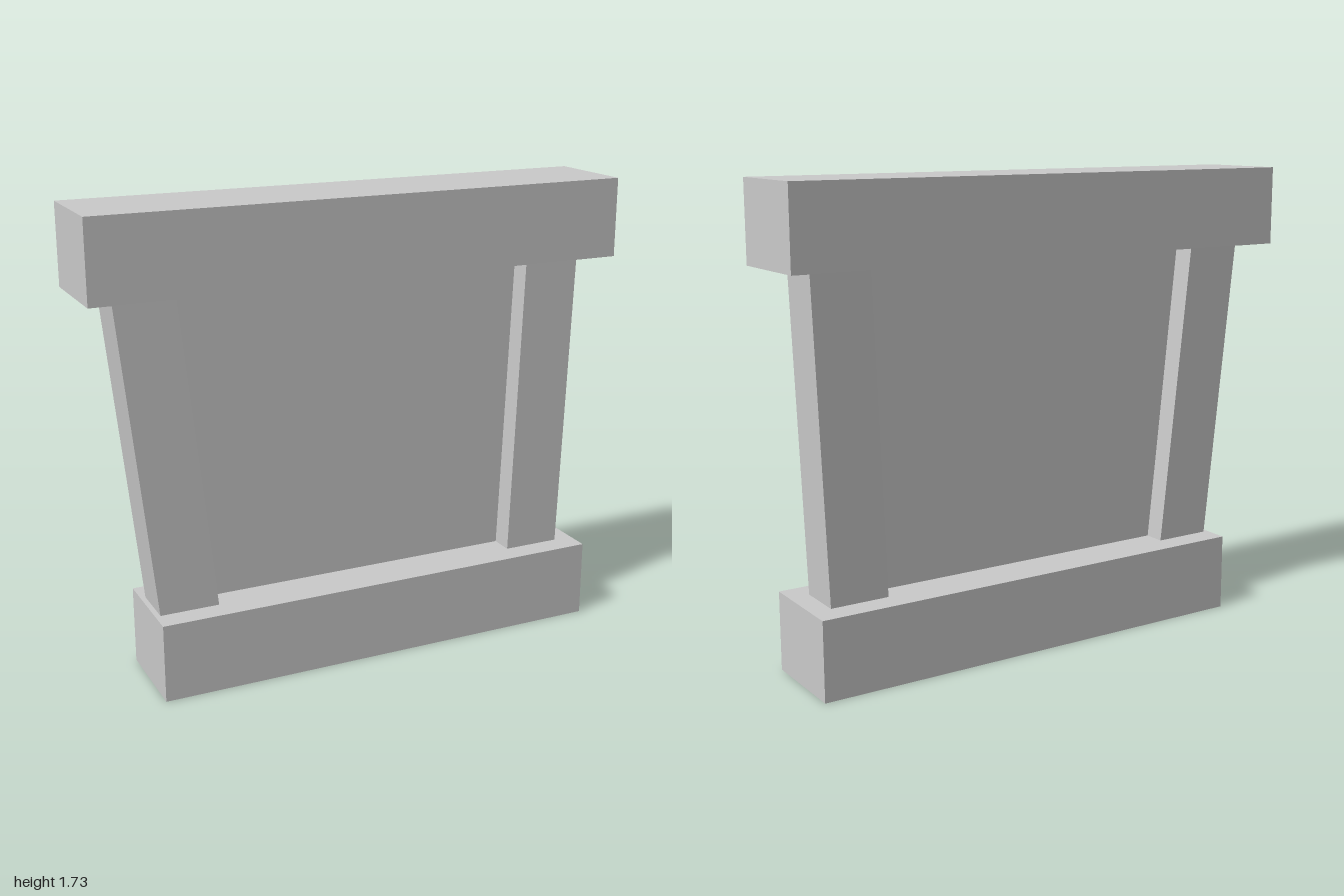
import * as THREE from 'three';

const BASE_TOP = 0.29, LINTEL_BOTTOM = 1.435, TOP = 1.725;

export function createModel() {
  const group = new THREE.Group();
  const material = new THREE.MeshStandardMaterial({ color: 0xcccccc, flatShading: true });

  // Box whose bottom and top edges have their own x range and z shift
  function slab(name, y0, y1, bottom, top, depth, lean = 0) {
    const geometry = new THREE.BoxGeometry(1, 1, depth);
    const p = geometry.attributes.position;
    for (let i = 0; i < p.count; i++) {
      const upper = p.getY(i) > 0;
      const range = upper ? top : bottom;
      p.setXYZ(i, range[p.getX(i) > 0 ? 1 : 0], upper ? y1 : y0,
        p.getZ(i) + (upper ? -lean : lean));
    }
    geometry.computeVertexNormals();
    const mesh = new THREE.Mesh(geometry, material);
    mesh.name = name;
    group.add(mesh);
  }

  // Horizontal beams
  slab('baseBeam', 0, BASE_TOP, [-0.8, 0.93], [-0.8, 0.93], 0.354);
  slab('topBeam', LINTEL_BOTTOM, TOP, [-1, 1], [-1, 1], 0.354);

  // Leaning posts
  slab('rightPost', BASE_TOP, LINTEL_BOTTOM, [-0.781, -0.562], [-0.898, -0.679], 0.174, 0.003);
  slab('leftPost', BASE_TOP, LINTEL_BOTTOM, [0.636, 0.855], [0.679, 0.898], 0.174, 0.003);

  // Thin infill panel between the posts
  slab('panel', BASE_TOP, LINTEL_BOTTOM, [-0.67, 0.745], [-0.79, 0.79], 0.006);

  return group;
}
